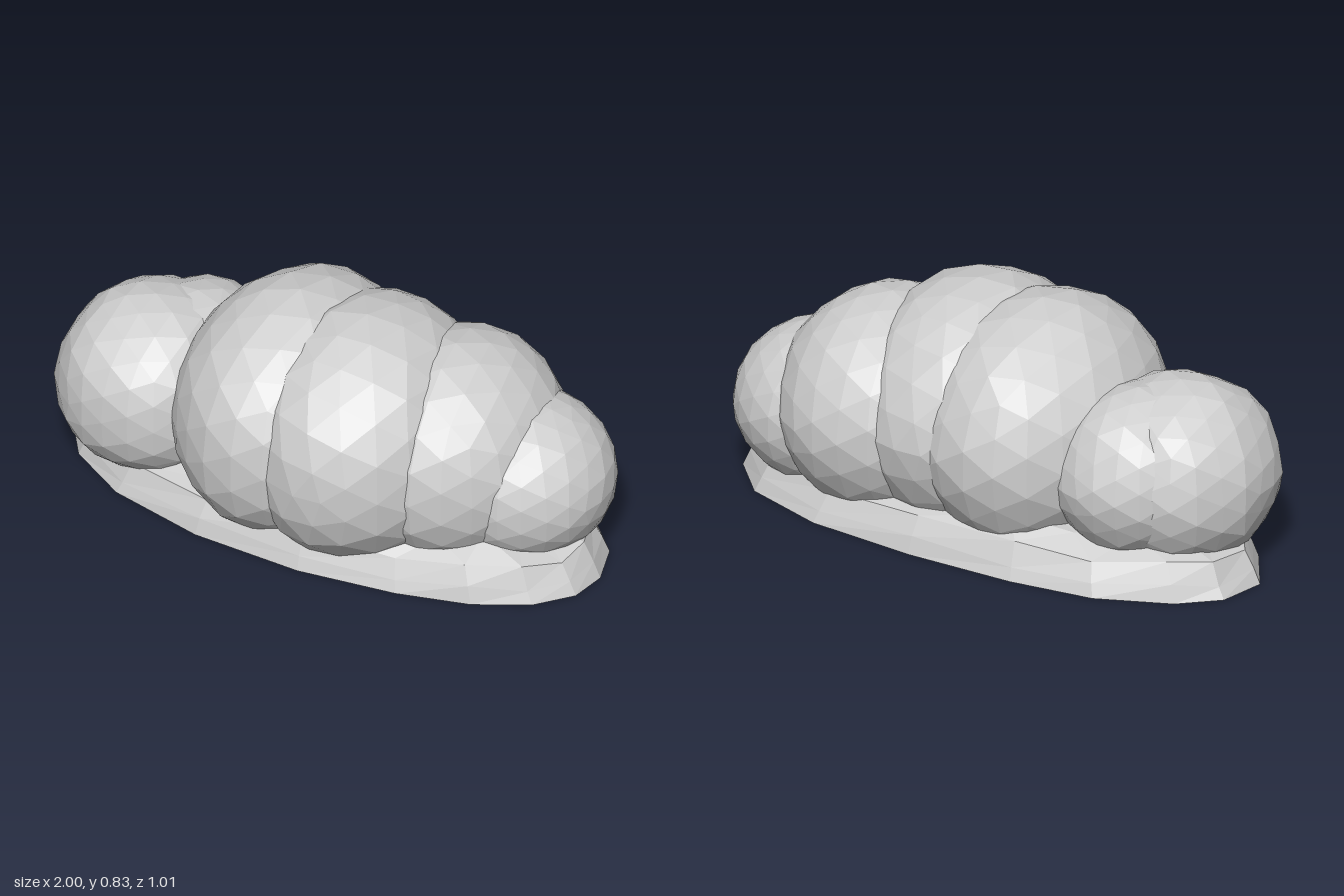
import * as THREE from 'three';

const cloudGrey = new THREE.MeshStandardMaterial({ color: 0xcccccc, flatShading: true });
cloudGrey.name = 'cloudGrey';

// Faceted ellipsoid with a slight uneven surface, levelled off just above the ground
function puff(name, [x, y, z], [rx, ry, rz], bump, turn, yaw = 0) {
  const geo = new THREE.IcosahedronGeometry(1, 3);
  geo.rotateY(turn);
  const pos = geo.attributes.position;
  const v = new THREE.Vector3();
  for (let i = 0; i < pos.count; i++) {
    v.fromBufferAttribute(pos, i);
    const wave = Math.sin(v.x * 7 + turn * 9) + Math.sin(v.y * 8 + v.z * 5) + Math.sin(v.z * 9 - v.x * 4);
    v.multiplyScalar(1 + (bump * wave) / 3);
    pos.setXYZ(i, v.x * rx, Math.max(v.y * ry, 0.01 - y), v.z * rz);
  }
  geo.rotateY(yaw);
  geo.translate(x, y, z);
  geo.computeVertexNormals();
  const mesh = new THREE.Mesh(geo, cloudGrey);
  mesh.name = name;
  return mesh;
}

// Flat-bottomed oval slab, steep at the ends and sloping along the sides
function base() {
  const outline = [
    [1, -0.05], [0.98, 0.08], [0.88, 0.2], [0.7, 0.3], [0.45, 0.37], [0.1, 0.42],
    [-0.3, 0.41], [-0.65, 0.33], [-0.87, 0.2], [-1, 0.02], [-0.97, -0.15], [-0.85, -0.27],
    [-0.6, -0.39], [-0.3, -0.44], [0.1, -0.46], [0.5, -0.44], [0.8, -0.35], [0.95, -0.2],
  ];
  // Height, scale along x, scale along z
  const rings = [[0, 1, 1], [0.05, 0.975, 0.96], [0.12, 0.94, 0.88], [0.17, 0.75, 0.72]];
  const n = outline.length;
  const points = [];
  rings.forEach(([y, sx, sz], k) => outline.forEach(([x, z], i) => {
    const lift = k > 0 ? 0.012 * Math.sin(i * 2.3 + k) : 0;
    points.push(x * sx, y + lift, z * sz);
  }));
  const bottom = rings.length * n;
  const top = bottom + 1;
  points.push(0, 0, 0, 0, 0.2, 0);
  const index = [];
  for (let i = 0; i < n; i++) {
    const j = (i + 1) % n;
    for (let k = 0; k < rings.length - 1; k++) {
      const a = k * n + i, b = k * n + j;
      index.push(a, a + n, b, b, a + n, b + n);
    }
    const last = (rings.length - 1) * n;
    index.push(last + i, top, last + j);
    index.push(bottom, i, j);
  }
  const geo = new THREE.BufferGeometry();
  geo.setAttribute('position', new THREE.Float32BufferAttribute(points, 3));
  geo.setIndex(index);
  const flat = geo.toNonIndexed();
  flat.computeVertexNormals();
  const mesh = new THREE.Mesh(flat, cloudGrey);
  mesh.name = 'flatBase';
  return mesh;
}

export function createModel() {
  const group = new THREE.Group();
  group.name = 'cloud';
  group.add(
    base(),
    // Two tall middle puffs
    puff('middleRightPuff', [-0.12, 0.375, 0.015], [0.41, 0.45, 0.495], 0.02, 0.3),
    puff('middleLeftPuff', [0.145, 0.375, 0.025], [0.41, 0.45, 0.49], 0.02, 1.1, 0.12),
    // Shrinking puffs towards the left end
    puff('outerLeftPuff', [0.425, 0.345, -0.08], [0.385, 0.395, 0.42], 0.015, 0.7),
    puff('leftEndPuff', [0.675, 0.285, -0.115], [0.31, 0.285, 0.31], 0.01, 0.2),
    // Lumpy right end with a second puff tucked behind it
    puff('rightEndPuff', [-0.65, 0.32, 0.06], [0.34, 0.33, 0.345], 0.03, 0.5),
    puff('rightBackPuff', [-0.55, 0.33, -0.045], [0.3, 0.3, 0.31], 0.03, 0.9),
  );
  return group;
}
